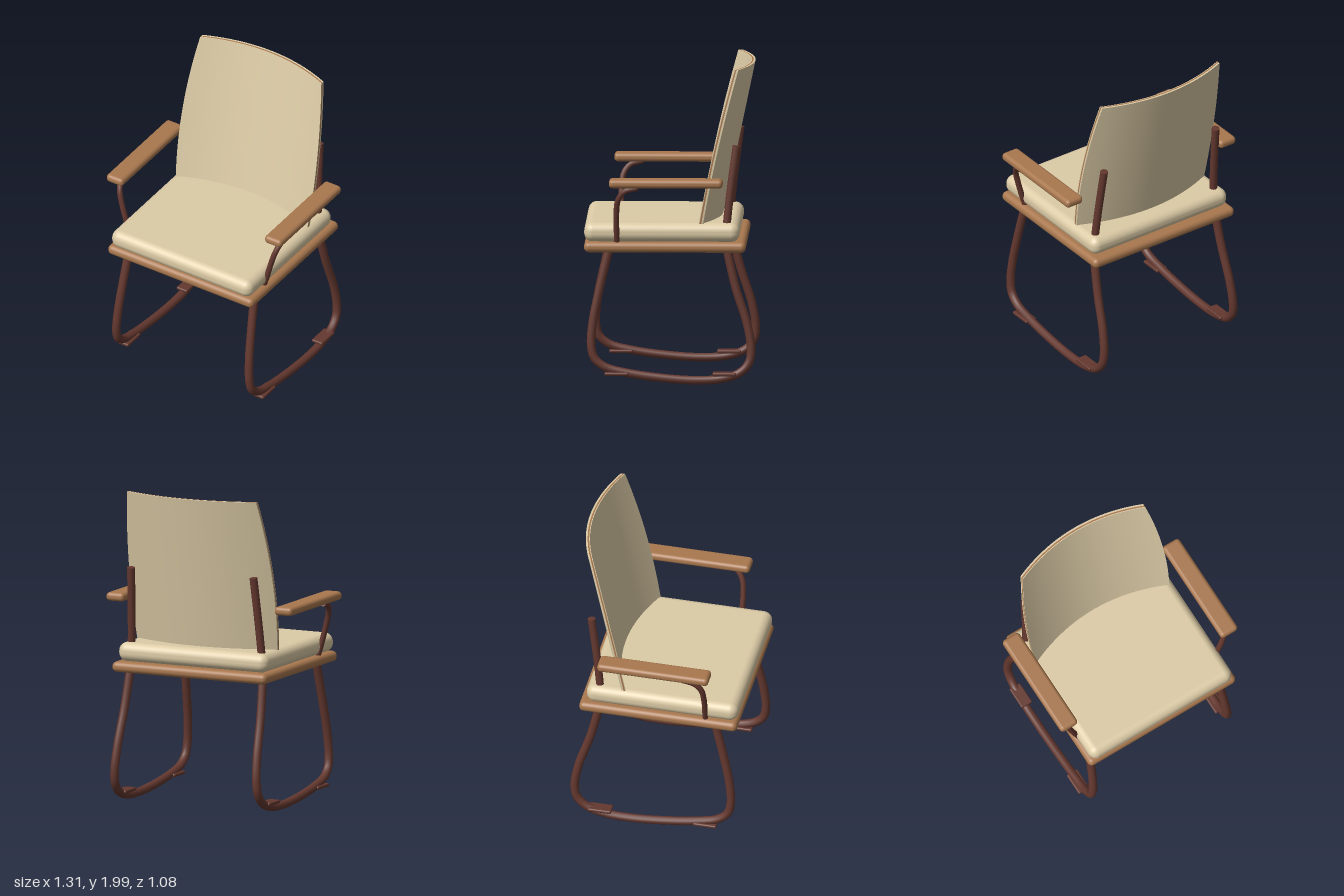
import * as THREE from 'three';
import { RoundedBoxGeometry } from 'three/addons/geometries/RoundedBoxGeometry.js';

function material(name, color) {
  const m = new THREE.MeshStandardMaterial({ color });
  m.name = name;
  return m;
}

export function createModel() {
  const cream = material('cream fabric', 0xdccba6);
  const wood = material('warm wood', 0xa9784f);
  const metal = material('dark brown metal', 0x64382f);
  const chair = new THREE.Group();
  chair.name = 'chair';

  const add = (name, geometry, mat) => {
    const mesh = new THREE.Mesh(geometry, mat);
    mesh.name = name;
    chair.add(mesh);
    return mesh;
  };

  // Rounded block given by its extents
  const block = (name, [x0, x1], [y0, y1], [z0, z1], radius, mat) => {
    const g = new RoundedBoxGeometry(x1 - x0, y1 - y0, z1 - z0, 4, radius);
    add(name, g, mat).position.set((x0 + x1) / 2, (y0 + y1) / 2, (z0 + z1) / 2);
  };

  // Round bar through points, with flat end caps
  const bar = (name, points, radius, segments) => {
    const curve = new THREE.CatmullRomCurve3(points.map(p => new THREE.Vector3(...p)));
    add(name, new THREE.TubeGeometry(curve, segments, radius, 12), metal);
    for (const t of [0, 1]) {
      const cap = add(name + 'Cap', new THREE.CircleGeometry(radius, 12), metal);
      cap.position.copy(curve.getPoint(t));
      const outward = curve.getTangent(t).multiplyScalar(t ? 1 : -1);
      cap.quaternion.setFromUnitVectors(new THREE.Vector3(0, 0, 1), outward);
    }
  };

  // Seat
  block('seatBoard', [-0.545, 0.545], [0.845, 0.912], [-0.48, 0.54], 0.031, wood);
  block('seatCushion', [-0.527, 0.527], [0.908, 1.03], [-0.44, 0.54], 0.055, cream);

  // Curved backrest layers: leaning back, bowed across, narrowing to the top
  const backLayer = (name, front, back, mat) => {
    const g = new THREE.BoxGeometry(2, 1, 1, 28, 16, 1);
    const p = g.attributes.position;
    for (let i = 0; i < p.count; i++) {
      const v = p.getY(i) + 0.5;
      const y = 1.02 + 0.98 * v;
      const x = p.getX(i) * (0.508 - 0.125 * (y - 1.35) ** 2);
      const offset = p.getZ(i) > 0 ? front : back;
      p.setXYZ(i, x, y, -0.295 - 0.205 * v + 0.46 * x * x - offset);
    }
    g.computeVertexNormals();
    add(name, g, mat);
  };
  backLayer('backrestFrontPad', 0, 0.005, cream);
  backLayer('backrestWoodCore', 0.005, 0.015, wood);
  backLayer('backrestRearPad', 0.015, 0.027, cream);

  // Bent leg loop in side profile, as [z, y]
  const legProfile = [
    [0.378, 0.88], [0.445, 0.6], [0.485, 0.4], [0.495, 0.25], [0.475, 0.17],
    [0.41, 0.115], [0.28, 0.08], [0.08, 0.05], [-0.15, 0.033], [-0.32, 0.042],
    [-0.44, 0.08], [-0.5, 0.145], [-0.513, 0.23], [-0.49, 0.38], [-0.415, 0.62],
    [-0.355, 0.88],
  ];
  const splay = y => 0.513 - 0.053 * y;

  for (const s of [1, -1]) {
    const side = s > 0 ? 'left' : 'right';
    bar(side + 'Leg', legProfile.map(([z, y]) => [s * splay(y), y, z]), 0.027, 90);
    bar(side + 'BackPost', [[s * splay(0.88), 0.88, -0.345], [s * splay(1.2), 1.2, -0.378],
      [s * splay(1.515), 1.515, -0.42]], 0.025, 10);

    // Thin foot pads under the runner
    for (const [end, z] of [['Front', 0.335], ['Rear', -0.345]]) {
      const pad = add(side + end + 'FootPad', new RoundedBoxGeometry(0.08, 0.022, 0.15, 2, 0.009), metal);
      pad.position.set(s * 0.508, 0.073, z);
    }

    // Armrest and its bent support
    const xs = [s * 0.532, s * 0.657].sort((a, b) => a - b);
    block(side + 'Armrest', xs, [1.27, 1.325], [-0.337, 0.38], 0.024, wood);
    bar(side + 'ArmSupport', [[0.5, 0.89, 0.332], [0.525, 0.97, 0.334], [0.558, 1.09, 0.335],
      [0.586, 1.19, 0.322], [0.603, 1.245, 0.28], [0.61, 1.268, 0.2]]
      .map(([x, y, z]) => [s * x, y, z]), 0.018, 28);
  }
  return chair;
}
